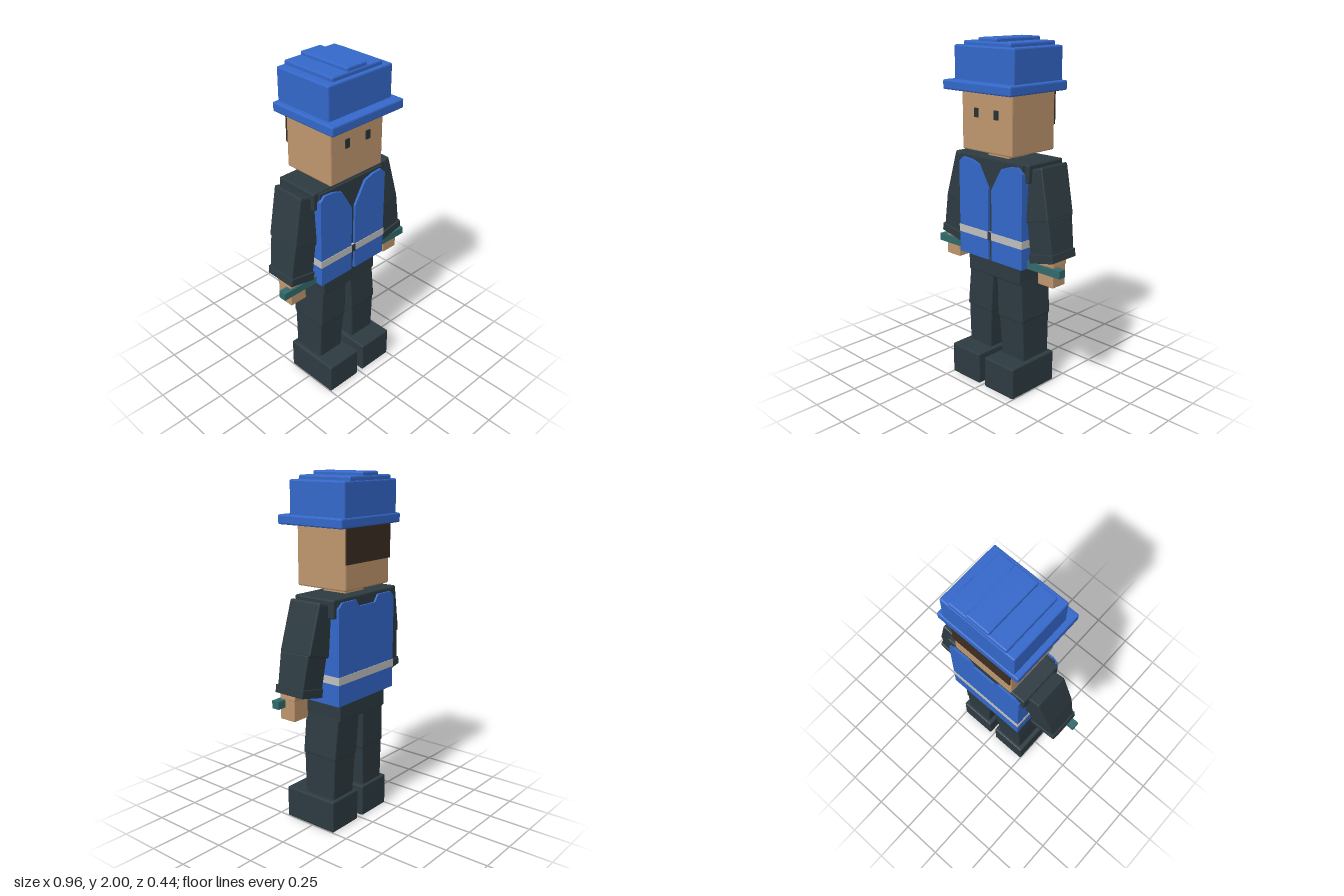
import * as THREE from 'three';
import { RoundedBoxGeometry } from 'three/addons/geometries/RoundedBoxGeometry.js';

const mat = (name, color) => {
  const m = new THREE.MeshStandardMaterial({ color });
  m.name = name;
  return m;
};

export function createModel() {
  const root = new THREE.Group();
  root.name = 'worker';
  const cloth = mat('dark cloth', 0x2d3b41);
  const blue = mat('blue', 0x3468ca);
  const skin = mat('skin', 0xbf966e);
  const hairMat = mat('hair brown', 0x3b2d22);
  const silver = mat('reflective grey', 0xbfc0be);
  const teal = mat('teal', 0x316a6c);
  const eyeMat = mat('eye dark', 0x263238);

  const add = (name, geo, material, parent = root) => {
    const m = new THREE.Mesh(geo, material);
    m.name = name;
    parent.add(m);
    return m;
  };

  // Block given by its limits, with a small bevel where r > 0
  const block = (name, material, [x0, x1], [y0, y1], [z0, z1], r = 0, parent = root) => {
    const w = x1 - x0, h = y1 - y0, d = z1 - z0;
    const g = r ? new RoundedBoxGeometry(w, h, d, 1, r) : new THREE.BoxGeometry(w, h, d);
    if (r) g.computeVertexNormals();
    g.translate((x0 + x1) / 2, (y0 + y1) / 2, (z0 + z1) / 2);
    return add(name, g, material, parent);
  };

  // Bevelled limb block between two tilted ends: {in: [x, y], out: [x, y], z: [back, front]}
  const limb = (name, material, side, top, bottom, parent) => {
    const g = new RoundedBoxGeometry(1, 1, 1, 1, 0.04);
    const p = g.attributes.position;
    const mix = THREE.MathUtils.lerp;
    for (let i = 0; i < p.count; i++) {
      const u = side * p.getX(i) + 0.5, v = p.getY(i) + 0.5, w = p.getZ(i) + 0.5;
      const at = (e, k) => mix(e.in[k], e.out[k], u);
      p.setXYZ(i,
        side * mix(at(bottom, 0), at(top, 0), v),
        mix(at(bottom, 1), at(top, 1), v),
        mix(mix(bottom.z[0], bottom.z[1], w), mix(top.z[0], top.z[1], w), v));
    }
    g.computeVertexNormals();
    add(name, g, material, parent);
  };

  // Flat panel cut from an outline, lying between two z values
  const panel = (name, points, z0, z1) => {
    const shape = new THREE.Shape(points.map(([x, y]) => new THREE.Vector2(x, y)));
    const g = new THREE.ExtrudeGeometry(shape, { depth: z1 - z0, bevelEnabled: false });
    g.translate(0, 0, z0);
    add(name, g, blue);
  };

  // Head, face and neck
  block('head', skin, [-0.192, 0.192], [1.388, 1.74], [-0.195, 0.14], 0.008);
  block('neck', skin, [-0.08, 0.08], [1.33, 1.4], [-0.105, 0.05]);
  block('hair', hairMat, [-0.19, 0.19], [1.53, 1.73], [-0.204, -0.194]);
  for (const s of [-1, 1])
    block('eye', eyeMat, [s * 0.075 - 0.015, s * 0.075 + 0.015], [1.577, 1.627], [0.139, 0.147]);

  // Hard hat
  const hat = new THREE.Group();
  hat.name = 'hardHat';
  root.add(hat);
  block('brim', blue, [-0.257, 0.257], [1.72, 1.773], [-0.222, 0.222], 0.008, hat);
  block('crown', blue, [-0.226, 0.226], [1.76, 1.957], [-0.215, 0.162], 0.008, hat);
  block('wideRidge', blue, [-0.177, 0.177], [1.94, 1.98], [-0.211, 0.138], 0.008, hat);
  block('narrowRidge', blue, [-0.07, 0.07], [1.96, 2.0], [-0.207, 0.132], 0.008, hat);

  // Shirt and hips
  block('shirt', cloth, [-0.237, 0.237], [0.775, 1.345], [-0.183, 0.105]);
  block('shoulderYoke', cloth, [-0.268, 0.268], [1.325, 1.354], [-0.18, 0.092], 0.006);
  block('hips', cloth, [-0.205, 0.205], [0.655, 0.79], [-0.17, 0.092], 0.008);

  // Vest: two front panels, sides, back and reflective belt
  for (const s of [-1, 1]) {
    panel('vestFront', [[0.013, 0.765], [0.246, 0.765], [0.246, 1.305], [0.215, 1.335],
      [0.15, 1.33], [0.09, 1.31], [0.013, 1.18]].map(([x, y]) => [s * x, y]), 0.1, 0.12);
    block('vestSide', blue, s > 0 ? [0.23, 0.246] : [-0.246, -0.23], [0.765, 1.3], [-0.18, 0.105]);
  }
  panel('vestBack', [[-0.246, 0.765], [0.246, 0.765], [0.246, 1.305], [0.215, 1.335], [0.1, 1.335],
    [0.07, 1.295], [-0.07, 1.295], [-0.1, 1.335], [-0.215, 1.335], [-0.246, 1.305]], -0.195, -0.175);
  block('reflectiveBand', silver, [-0.249, 0.249], [0.887, 0.931], [-0.198, 0.123]);
  block('bandClasp', cloth, [-0.014, 0.014], [0.886, 0.932], [0.12, 0.126]);

  // Arms, hands, legs and boots, mirrored
  for (const s of [-1, 1]) {
    const range = (a, b) => (s > 0 ? [a, b] : [-b, -a]);
    const arm = new THREE.Group();
    arm.name = s > 0 ? 'leftArm' : 'rightArm';
    root.add(arm);
    block('shoulderCap', cloth, range(0.235, 0.27), [1.252, 1.352], [-0.18, 0.092], 0.006, arm);
    limb('upperArm', cloth, s,
      { in: [0.19, 1.305], out: [0.335, 1.348], z: [-0.143, 0.065] },
      { in: [0.245, 1.025], out: [0.402, 1.065], z: [-0.125, 0.085] }, arm);
    limb('forearm', cloth, s,
      { in: [0.25, 1.045], out: [0.4, 1.075], z: [-0.117, 0.083] },
      { in: [0.275, 0.835], out: [0.432, 0.87], z: [-0.1, 0.08] }, arm);
    limb('cuff', cloth, s,
      { in: [0.268, 0.86], out: [0.436, 0.89], z: [-0.108, 0.09] },
      { in: [0.276, 0.808], out: [0.443, 0.845], z: [-0.106, 0.09] }, arm);
    limb('wrist', skin, s,
      { in: [0.3, 0.85], out: [0.425, 0.87], z: [-0.05, 0.07] },
      { in: [0.31, 0.8], out: [0.43, 0.815], z: [-0.04, 0.066] }, arm);
    block('hand', skin, range(0.318, 0.427), [0.695, 0.82], [-0.036, 0.065], 0.004, arm);
    block('handBar', teal, range(0.21, 0.48), [0.766, 0.81], [0.03, 0.076], 0, arm);

    const leg = new THREE.Group();
    leg.name = s > 0 ? 'leftLeg' : 'rightLeg';
    root.add(leg);
    limb('thigh', cloth, s,
      { in: [0.012, 0.74], out: [0.2, 0.74], z: [-0.16, 0.078] },
      { in: [0.028, 0.418], out: [0.224, 0.425], z: [-0.147, 0.086] }, leg);
    limb('shin', cloth, s,
      { in: [0.032, 0.44], out: [0.22, 0.44], z: [-0.143, 0.08] },
      { in: [0.048, 0.17], out: [0.222, 0.17], z: [-0.136, 0.07] }, leg);
    block('boot', cloth, range(0.022, 0.25), [0, 0.188], [-0.155, 0.192], 0.008, leg);
  }
  return root;
}
